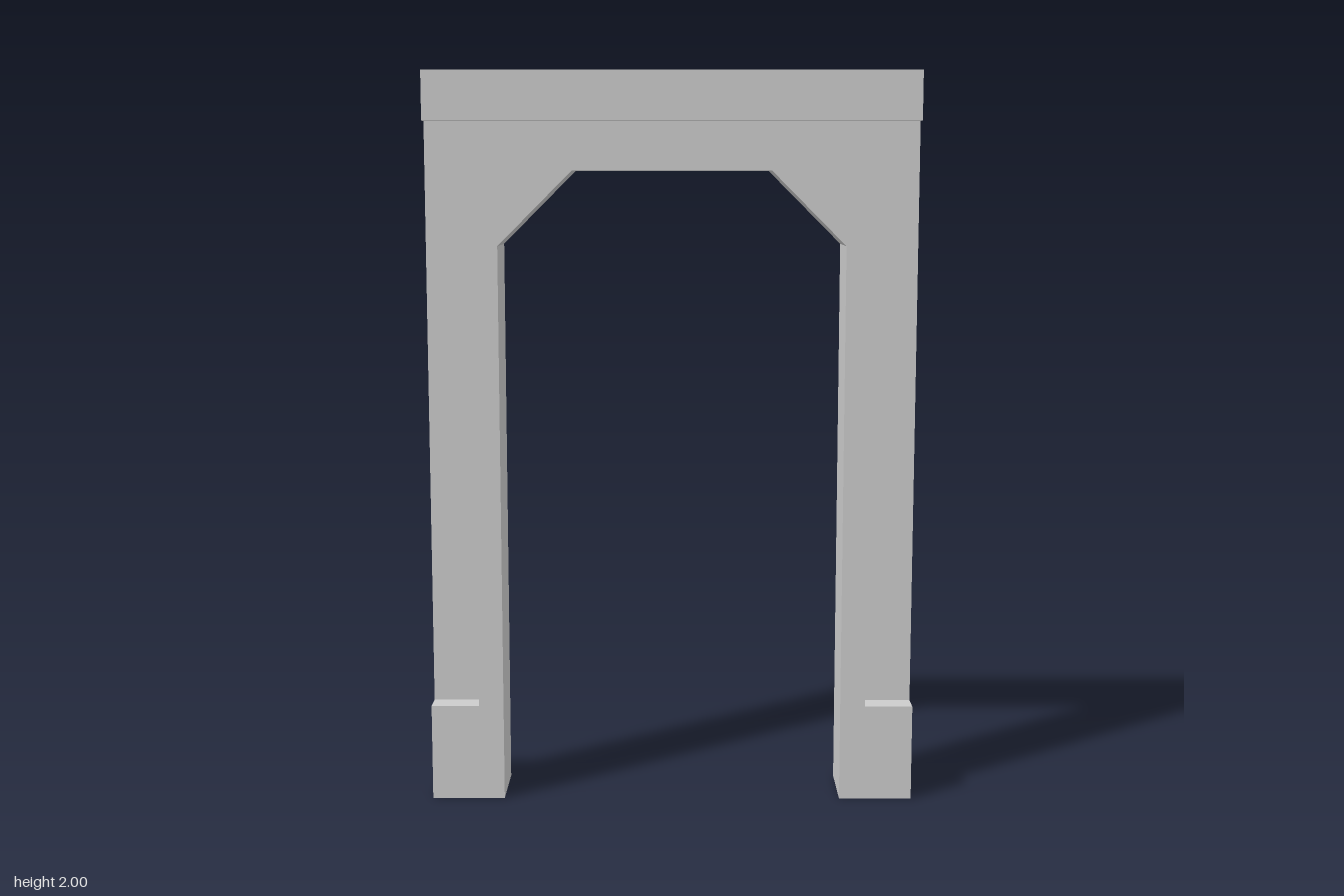
import * as THREE from 'three';

const W = 0.667;          // half width of the arch
const DEPTH = 0.194;      // depth of rim and plinths
const WALL = 0.066;       // depth of the recessed wall
const BASE_H = 0.265;
const LINTEL_Y = 1.867;

// Half outlines of the opening, from the ground up to the flat top
const inner = [[0.467, 0], [0.467, 1.535], [0.267, 1.735]];
const outer = [[0.535, 0], [0.535, 1.535], [0.267, 1.8]];

// Full outline, right to left, with the feet starting at the given height
function archLine(half, foot) {
  const side = half.map(([x, y]) => [x, Math.max(y, foot)]);
  return [...side, ...side.map(([x, y]) => [-x, y]).reverse()];
}

export function createModel() {
  const group = new THREE.Group();
  const material = new THREE.MeshStandardMaterial({ color: 0xcccccc, flatShading: true });

  const add = (name, geometry, x = 0, y = 0, z = 0) => {
    const mesh = new THREE.Mesh(geometry, material);
    mesh.name = name;
    mesh.position.set(x, y, z);
    group.add(mesh);
  };
  const slab = (points, depth) => {
    const shape = new THREE.Shape(points.map(([x, y]) => new THREE.Vector2(x, y)));
    return new THREE.ExtrudeGeometry(shape, { depth, bevelEnabled: false })
      .translate(0, 0, -depth / 2);
  };

  // Thin wall around the opening, standing on the plinths
  add('wall', slab([
    [W, BASE_H], [W, LINTEL_Y], [-W, LINTEL_Y], [-W, BASE_H],
    ...archLine(outer, BASE_H).reverse(),
  ], WALL));

  // Raised rim lining the opening
  add('archRim', slab([...archLine(outer, 0), ...archLine(inner, 0).reverse()], DEPTH));

  // Plinth at the foot of each post
  const baseW = W - outer[0][0];
  for (const s of [1, -1]) {
    add(s > 0 ? 'leftPlinth' : 'rightPlinth',
      new THREE.BoxGeometry(baseW, BASE_H, DEPTH), s * (W - baseW / 2), BASE_H / 2, 0);
  }

  // Lintel across the top, set slightly towards the back
  add('lintel', new THREE.BoxGeometry(2 * W, 2 - LINTEL_Y, 0.169),
    0, (2 + LINTEL_Y) / 2, -0.008);

  return group;
}
